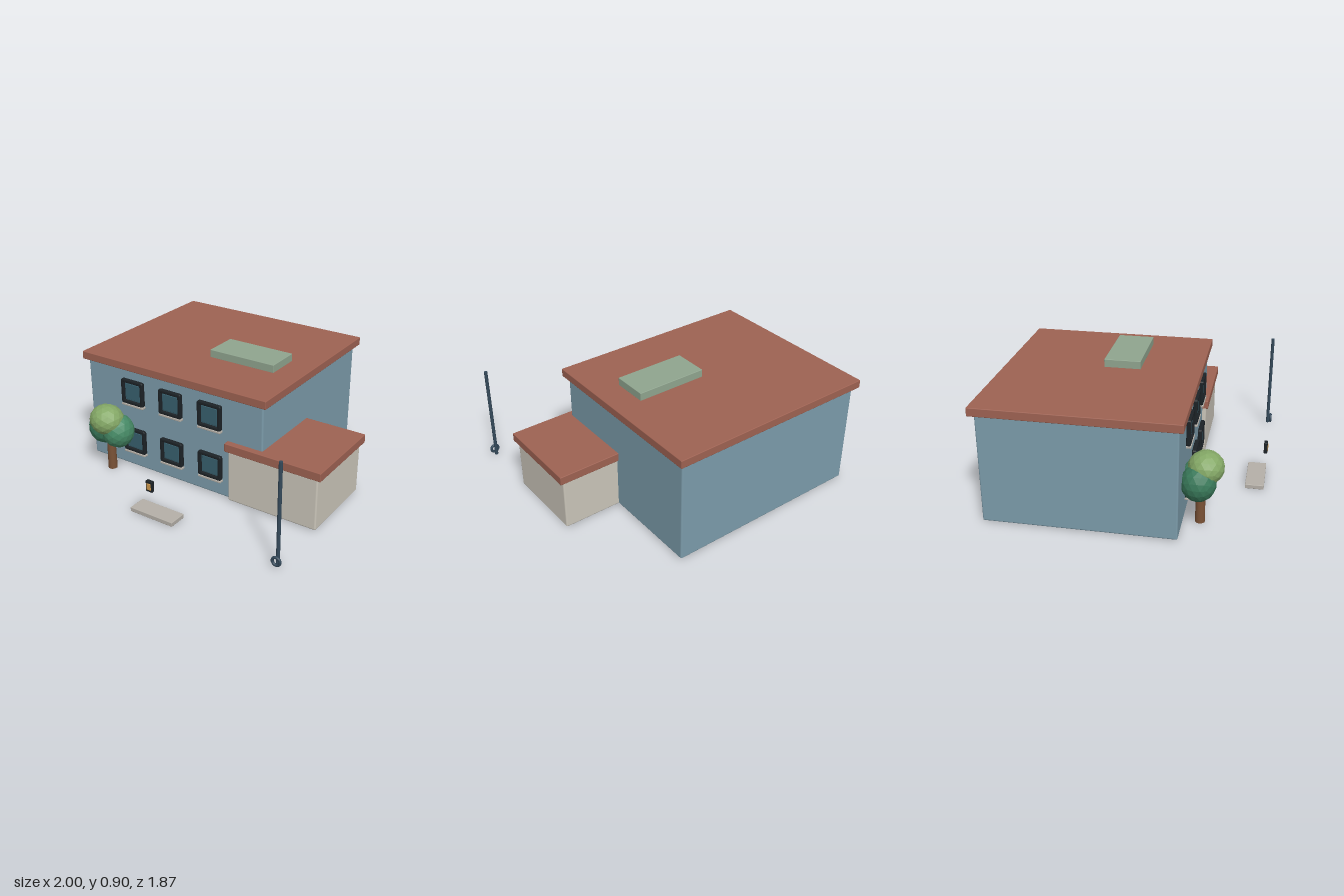
import * as THREE from 'three';
import { RoundedBoxGeometry } from 'three/addons/geometries/RoundedBoxGeometry.js';

const mat = (color, flatShading = false) => {
  const m = new THREE.MeshStandardMaterial({ color });
  m.flatShading = flatShading;
  return m;
};
const wall = mat(0x7c9cab), tile = mat(0x9e6252), cream = mat(0xcbc6ba), stone = mat(0xb5b0a8);
const sage = mat(0x90a58f), dark = mat(0x1c2226), glass = mat(0x38606e), metal = mat(0x34495a);
const amber = mat(0xd09a4e), bark = mat(0x7a5236);

function add(parent, name, geometry, material, x = 0, y = 0, z = 0) {
  const mesh = new THREE.Mesh(geometry, material);
  mesh.name = name;
  mesh.position.set(x, y, z);
  parent.add(mesh);
  return mesh;
}

// Softly rounded box given by its limits on each axis
function block(parent, name, material, [x0, x1], [y0, y1], [z0, z1], r) {
  const geo = new RoundedBoxGeometry(x1 - x0, y1 - y0, z1 - z0, 2, r);
  return add(parent, name, geo, material, (x0 + x1) / 2, (y0 + y1) / 2, (z0 + z1) / 2);
}

function roundedRect(target, w, h, r) {
  const x = w / 2, y = h / 2;
  target.moveTo(-x + r, -y);
  target.lineTo(x - r, -y);
  target.quadraticCurveTo(x, -y, x, -y + r);
  target.lineTo(x, y - r);
  target.quadraticCurveTo(x, y, x - r, y);
  target.lineTo(-x + r, y);
  target.quadraticCurveTo(-x, y, -x, y - r);
  target.lineTo(-x, -y + r);
  target.quadraticCurveTo(-x, -y, -x + r, -y);
  return target;
}

// Bevelled frame with an open middle, about 0.195 x 0.19 overall
function frameGeometry() {
  const shape = roundedRect(new THREE.Shape(), 0.181, 0.176, 0.01);
  shape.holes.push(roundedRect(new THREE.Path(), 0.157, 0.152, 0.006));
  return new THREE.ExtrudeGeometry(shape, {
    depth: 0.017, bevelThickness: 0.007, bevelSize: 0.007, bevelSegments: 2, curveSegments: 4,
  });
}

export function createModel() {
  const model = new THREE.Group();
  model.name = 'house';

  // Main building
  block(model, 'mainWalls', wall, [-0.967, 0.538], [0.004, 0.785], [-0.9, 0.417], 0.012);
  block(model, 'mainRoof', tile, [-1, 0.574], [0.783, 0.843], [-0.936, 0.447], 0.005);
  block(model, 'roofBox', sage, [-0.153, 0.375], [0.84, 0.9], [-0.238, 0.022], 0.004);

  // Side annex
  block(model, 'annexWalls', cream, [0.28, 0.972], [0.004, 0.392], [-0.175, 0.445], 0.012);
  block(model, 'annexRoof', tile, [0.26, 1], [0.392, 0.455], [-0.192, 0.462], 0.005);

  // Two rows of three windows
  const frame = frameGeometry();
  for (const y of [0.228, 0.615]) {
    for (const x of [-0.55, -0.213, 0.121]) {
      const win = new THREE.Group();
      win.name = 'window';
      win.position.set(x, y, 0.417);
      add(win, 'windowFrame', frame, dark, 0, 0, 0.006);
      add(win, 'windowPane', new THREE.BoxGeometry(0.16, 0.155, 0.02), glass, 0, 0, 0.003);
      add(win, 'windowRim', new RoundedBoxGeometry(0.13, 0.125, 0.02, 2, 0.004), glass, 0, 0, 0.008);
      block(win, 'windowSill', stone, [-0.094, 0.098], [-0.109, -0.094], [-0.005, 0.034], 0.003);
      model.add(win);
    }
  }

  // Door step and wall lamp
  block(model, 'step', stone, [-0.2, 0.154], [0, 0.032], [0.793, 0.927], 0.004);
  block(model, 'lampBody', dark, [-0.05, 0.002], [0.215, 0.296], [0.906, 0.932], 0.004);
  block(model, 'lampGlow', amber, [-0.041, -0.007], [0.23, 0.279], [0.92, 0.936], 0.004);

  // Downpipe with a ring at its foot
  add(model, 'downpipe', new THREE.CylinderGeometry(0.0125, 0.0125, 0.735, 16), metal, 0.955, 0.372, 0.898);
  add(model, 'pipeRing', new THREE.TorusGeometry(0.028, 0.01, 10, 28), metal, 0.955, 0.044, 0.92);

  // Tree
  const tree = new THREE.Group();
  tree.name = 'tree';
  tree.position.set(-0.7, 0, 0.53);
  model.add(tree);
  add(tree, 'trunk', new THREE.CylinderGeometry(0.03, 0.034, 0.3, 16), bark, 0, 0.152, 0);
  const crowns = [
    [-0.06, 0.325, -0.012, 0.12, 0.127, 0.12, 0x39795a],
    [0.066, 0.323, -0.01, 0.12, 0.128, 0.12, 0x468a66],
    [0, 0.413, 0.03, 0.13, 0.113, 0.122, 0x84a866],
  ];
  for (const [x, y, z, sx, sy, sz, color] of crowns) {
    add(tree, 'foliage', new THREE.IcosahedronGeometry(1, 2), mat(color, true), x, y, z).scale.set(sx, sy, sz);
  }
  return model;
}
